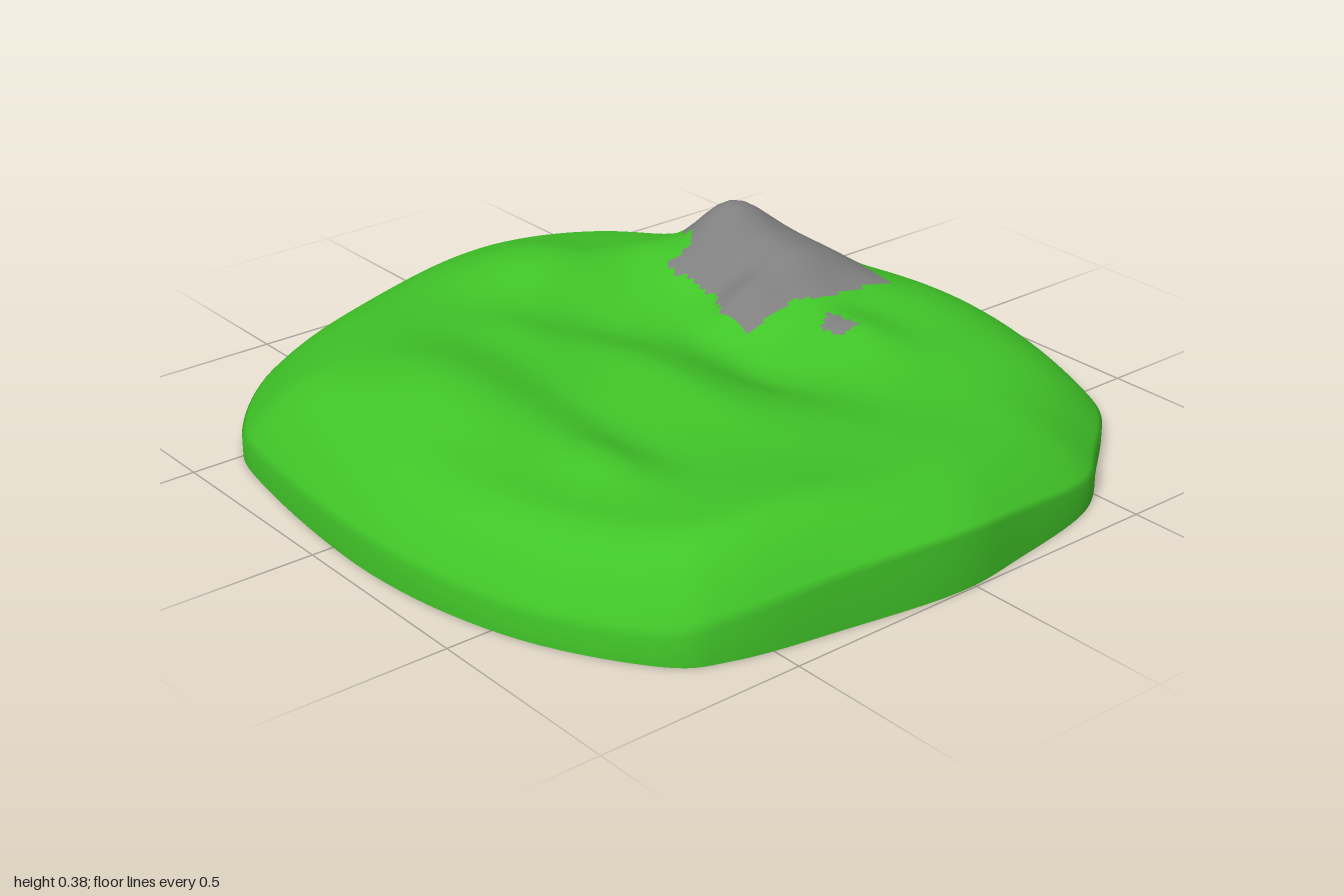
import * as THREE from 'three';

// Shoreline: x, z, width of the rounded rim, height of the steep bank
const SHORE = [
  [-1, -0.1, 0.38, 0.04], [-0.91, -0.4, 0.42, 0.03], [-0.72, -0.63, 0.44, 0.015],
  [-0.37, -0.87, 0.44, 0.015], [-0.15, -0.935, 0.44, 0.015], [0.06, -0.96, 0.44, 0.015],
  [0.26, -0.945, 0.44, 0.015], [0.48, -0.87, 0.42, 0.02], [0.65, -0.77, 0.4, 0.03],
  [0.8, -0.59, 0.38, 0.05], [0.92, -0.42, 0.34, 0.07], [0.975, -0.15, 0.26, 0.11],
  [0.995, 0.05, 0.22, 0.13], [0.955, 0.33, 0.2, 0.12], [0.905, 0.58, 0.2, 0.09],
  [0.82, 0.72, 0.22, 0.06], [0.53, 0.88, 0.22, 0.06], [0.14, 0.95, 0.22, 0.07],
  [-0.35, 0.91, 0.24, 0.06], [-0.56, 0.83, 0.32, 0.05], [-0.8, 0.59, 0.42, 0.04],
  [-0.94, 0.25, 0.4, 0.04],
];

// Hills and hollows: x, z, height, spread in x, spread in z
const BUMPS = [
  [-0.26, -0.4, 0.165, 0.085, 0.1], [-0.05, -0.42, 0.09, 0.08, 0.09], // twin peaks
  [-0.12, -0.56, 0.04, 0.13, 0.07], [-0.03, -0.25, 0.045, 0.05, 0.06], // rocky spurs
  [0.22, -0.37, 0.025, 0.1, 0.06], [-0.43, -0.27, 0.03, 0.07, 0.1], // crests beside the peaks
  [-0.44, -0.55, 0.035, 0.07, 0.09], // back shoulder
  [0.14, -0.13, -0.06, 0.2, 0.09], [-0.2, 0.02, -0.025, 0.12, 0.1], // central hollow
  [0.1, 0.13, 0.015, 0.25, 0.06], [-0.25, 0.25, 0.015, 0.1, 0.06], // lip of the hollow
  [-0.1, 0.57, 0.06, 0.22, 0.13], [-0.53, -0.02, 0.05, 0.12, 0.12], // front ridge, side hill
  [0.4, 0.52, 0.025, 0.1, 0.06], [0.25, 0.38, -0.015, 0.18, 0.06], // front ripple
  [0.83, 0.4, 0.03, 0.15, 0.25], [0.6, -0.4, -0.015, 0.25, 0.2], // corner rise, back dip
];

// Bare rock areas on the ground plan
const ROCK = [
  [[-0.37, -0.62], [0.08, -0.62], [0.08, -0.4], [0.05, -0.34], [0.04, -0.19],
    [-0.05, -0.19], [-0.12, -0.23], [-0.31, -0.22], [-0.27, -0.29], [-0.37, -0.34]],
  [[0.13, -0.37], [0.24, -0.37], [0.24, -0.31], [0.17, -0.31]],
];

function inside(x, z, poly) {
  let hit = false;
  poly.forEach(([ax, az], i) => {
    const [bx, bz] = poly[(i + 1) % poly.length];
    if ((az > z) !== (bz > z) && x < ax + ((z - az) * (bx - ax)) / (bz - az)) hit = !hit;
  });
  return hit;
}

// Ground height from the distance to the shore, the bank and the hills
function heightAt(x, z, shoreDistance, rimWidth, bank) {
  const rim = 1 - Math.pow(1 - Math.min(shoreDistance / rimWidth, 1), 2.5);
  let y = 0.213 + 0.004 * Math.sin(9 * x + 4 * z) * Math.sin(11 * z - 3 * x);
  for (const [bx, bz, h, sx, sz] of BUMPS) {
    y += h * Math.exp(-(((x - bx) / sx) ** 2 + ((z - bz) / sz) ** 2) / 2);
  }
  return bank + (y - bank) * rim;
}

export function createModel() {
  const group = new THREE.Group();
  group.name = 'island';
  const RINGS = 72, SEGS = 180;
  // Outline and rim share one parameter, so both blend smoothly round the shore
  const loop = (pick) => new THREE.CatmullRomCurve3(
    SHORE.map(pick), true, 'catmullrom', 0.5);
  const outline = loop(([x, z, w]) => new THREE.Vector3(x, w, z));
  const banks = loop(([x, z, , bank]) => new THREE.Vector3(x, bank, z));

  // Rings of points from the middle out to the shore, then the foot of the bank
  const positions = [0, heightAt(0, 0, 1, 0.2, 0), 0];
  const shore = outline.getPoints(SEGS);
  const bankTops = banks.getPoints(SEGS);
  for (let r = 1; r <= RINGS + 1; r++) {
    const t = Math.min(Math.pow(r / RINGS, 0.8), 1);
    for (let s = 0; s < SEGS; s++) {
      const p = shore[s];
      const x = p.x * t, z = p.z * t;
      const distance = (1 - t) * Math.hypot(p.x, p.z);
      const y = r > RINGS ? 0 : heightAt(x, z, distance, p.y, bankTops[s].y);
      positions.push(x, y, z);
    }
  }
  const id = (r, s) => (r === 0 ? 0 : 1 + (r - 1) * SEGS + (s % SEGS));

  // Sort the cells into grass and rock, with faces turned upward
  const grass = [], rock = [];
  for (let r = 0; r <= RINGS; r++) {
    for (let s = 0; s < SEGS; s++) {
      const a = id(r, s), b = id(r, s + 1), c = id(r + 1, s + 1), d = id(r + 1, s);
      const x = (positions[a * 3] + positions[c * 3]) / 2;
      const z = (positions[a * 3 + 2] + positions[c * 3 + 2]) / 2;
      const list = ROCK.some((poly) => inside(x, z, poly)) ? rock : grass;
      list.push(a, c, d);
      if (r > 0) list.push(a, b, c);
    }
  }

  // Both surfaces share points and normals, so the seam stays smooth
  const land = new THREE.BufferGeometry();
  land.setAttribute('position', new THREE.Float32BufferAttribute(positions, 3));
  land.setIndex([...grass, ...rock]);
  land.computeVertexNormals();

  const addSurface = (name, index, color) => {
    const geometry = land.clone().setIndex(index);
    const material = new THREE.MeshStandardMaterial({ color, side: THREE.DoubleSide });
    const mesh = new THREE.Mesh(geometry, material);
    mesh.name = name;
    group.add(mesh);
  };
  addSurface('grassLand', grass, 0x40c428);
  addSurface('mountainRock', rock, 0x808080);
  return group;
}
